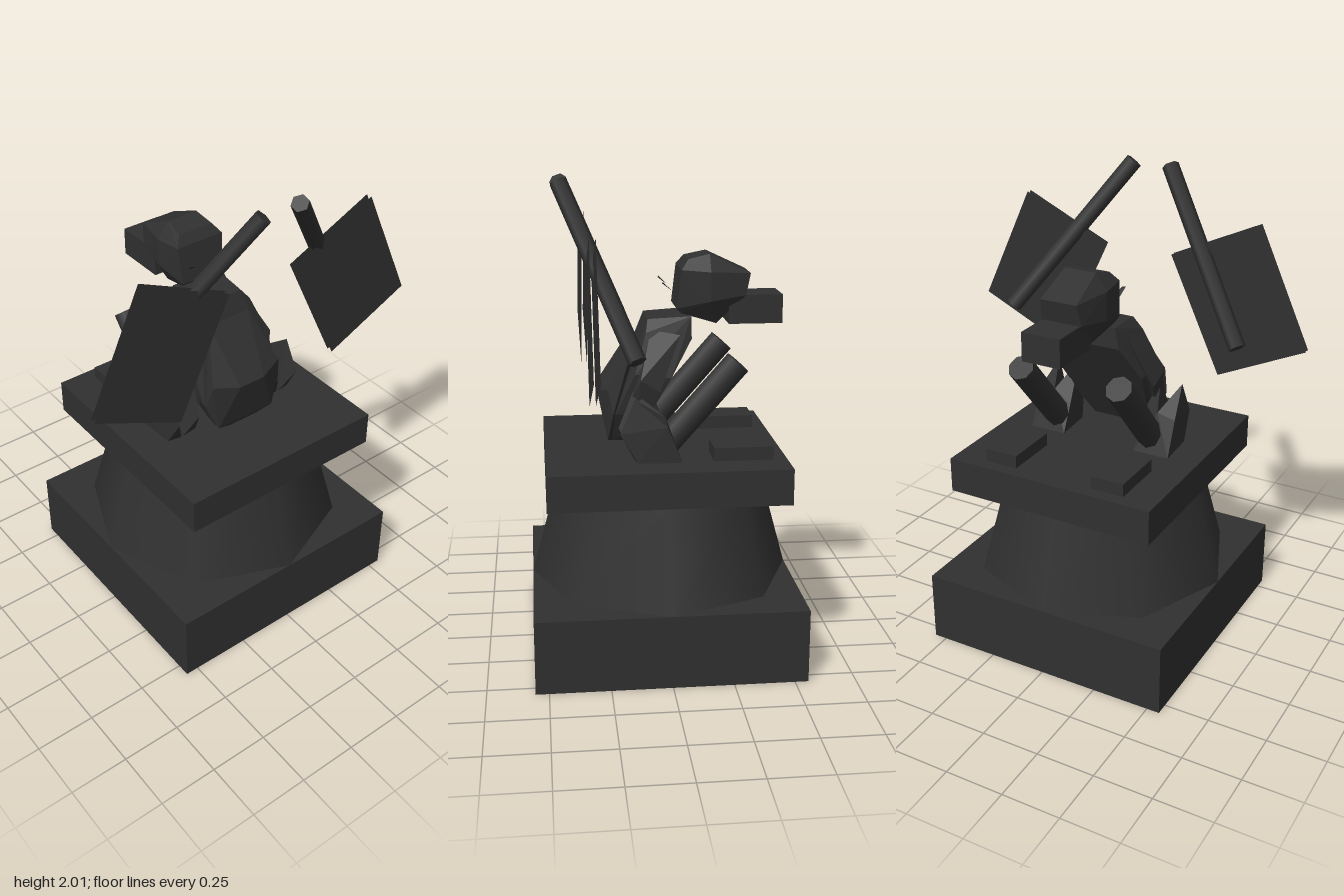
import * as THREE from 'three';
import { ConvexGeometry } from 'three/addons/geometries/ConvexGeometry.js';

export function createModel() {
  const model = new THREE.Group();
  const stone = new THREE.MeshStandardMaterial({ color: 0x303030 });
  stone.name = 'darkStone';
  stone.side = THREE.DoubleSide;

  const add = (name, geometry, x = 0, y = 0, z = 0) => {
    const mesh = new THREE.Mesh(geometry, stone);
    mesh.name = name;
    mesh.position.set(x, y, z);
    model.add(mesh);
    return mesh;
  };
  const box = (name, w, h, d, x, y, z) => add(name, new THREE.BoxGeometry(w, h, d), x, y, z);

  // Low-poly rod between two points
  const rod = (name, from, to, radius, sides) => {
    const a = new THREE.Vector3(...from), b = new THREE.Vector3(...to);
    const dir = b.clone().sub(a);
    const mesh = add(name, new THREE.CylinderGeometry(radius, radius, dir.length(), sides));
    mesh.position.copy(a).add(b).multiplyScalar(0.5);
    mesh.quaternion.setFromUnitVectors(new THREE.Vector3(0, 1, 0), dir.normalize());
    return mesh;
  };

  // Faceted solid from points; 'mirror' repeats each point across x = 0
  const hull = (name, points, mirror = true) => {
    const v = [];
    for (const [x, y, z] of points) {
      v.push(new THREE.Vector3(x, y, z));
      if (mirror) v.push(new THREE.Vector3(-x, y, z));
    }
    return add(name, new ConvexGeometry(v));
  };

  // Pedestal: square base, octagonal waist, square slab
  box('pedestalBase', 1.11, 0.31, 1.11, 0, 0.155, 0);
  add('pedestalWaist', new THREE.CylinderGeometry(0.44, 0.555, 0.42, 8), 0, 0.52, 0);
  box('pedestalSlab', 0.925, 0.15, 0.985, 0, 0.805, 0);

  // Crouching torso, leaning towards the back
  hull('torso', [
    [0.1, 1.43, 0.06], [0.11, 1.44, -0.12], [0.13, 1.35, -0.12], [0.14, 1.38, 0.07],
    [0.2, 1.22, 0.12], [0.19, 1.2, -0.03], [0.19, 1.05, 0.2], [0.17, 1.04, 0.06],
    [0.12, 0.92, 0.13], [0.14, 0.93, 0.21],
  ]);
  hull('belly', [
    [0.1, 1.36, 0.11], [0.17, 1.15, 0.23], [0.06, 1.13, 0.27],
    [0.19, 1.05, 0.21], [0.14, 0.93, 0.23], [0.07, 0.91, 0.22], [0.08, 0.91, 0.15],
  ]);

  // Head with muzzle
  hull('head', [
    [0.1, 1.47, -0.06], [0.11, 1.63, -0.08], [0.08, 1.67, -0.11], [0.07, 1.69, -0.2],
    [0.12, 1.62, -0.2], [0.12, 1.5, -0.2], [0.08, 1.61, -0.37], [0.09, 1.52, -0.35],
    [0.06, 1.4, -0.23], [0.09, 1.45, -0.08],
  ]);
  box('muzzle', 0.17, 0.12, 0.225, 0, 1.46, -0.393);

  for (const s of [1, -1]) {
    const side = s > 0 ? 'left' : 'right';

    // Small loose ear tip
    hull(side + 'EarTip', [
      [s * 0.08, 1.575, 0.0], [s * 0.1, 1.58, -0.005], [s * 0.09, 1.545, -0.04], [s * 0.07, 1.56, -0.02],
    ], false);

    // Shoulder flank beside the torso
    hull(side + 'Flank', [
      [s * 0.13, 1.39, 0.05], [s * 0.15, 1.37, -0.07], [s * 0.23, 1.2, 0.1],
      [s * 0.22, 1.15, 0.02], [s * 0.19, 1.0, 0.12], [s * 0.17, 1.05, 0.17],
    ], false);

    // Haunch, split into an inner and an outer angular wedge
    hull(side + 'OuterHaunch', [
      [s * 0.3, 1.14, 0.13], [s * 0.33, 1.03, 0.0], [s * 0.33, 0.88, -0.06], [s * 0.25, 0.88, -0.06],
      [s * 0.32, 0.88, 0.12], [s * 0.26, 0.88, 0.13], [s * 0.31, 1.0, 0.19], [s * 0.25, 1.05, 0.0],
    ], false);
    hull(side + 'InnerHaunch', [
      [s * 0.2, 1.15, 0.13], [s * 0.17, 1.0, 0.0], [s * 0.17, 0.88, -0.06], [s * 0.26, 0.88, -0.06],
      [s * 0.18, 0.88, 0.12], [s * 0.25, 0.88, 0.13], [s * 0.21, 1.0, 0.19], [s * 0.25, 1.05, 0.0],
    ], false);

    // Raised lower leg and its foot
    rod(side + 'Leg', [s * 0.225, 0.94, -0.01], [s * 0.225, 1.268, -0.298], 0.057, 8);
    box(side + 'Foot', 0.145, 0.055, 0.245, s * 0.248, 0.9075, -0.3125);

    // Wing: slanted spar and two parallel membrane sheets
    rod(side + 'WingSpar', [s * 0.535, 1.345, 0.138], [s * 0.085, 1.983, 0.412], 0.036, 6);
    const sheet = new THREE.Shape([
      [0.545, 1.82], [0.775, 1.32], [0.39, 1.14], [0.157, 1.64],
    ].map(([x, y]) => new THREE.Vector2(s * x, y)));
    for (const z of [0.29, 0.315]) {
      add(side + 'WingMembrane', new THREE.ShapeGeometry(sheet), 0, 0, z);
    }
  }

  return model;
}
